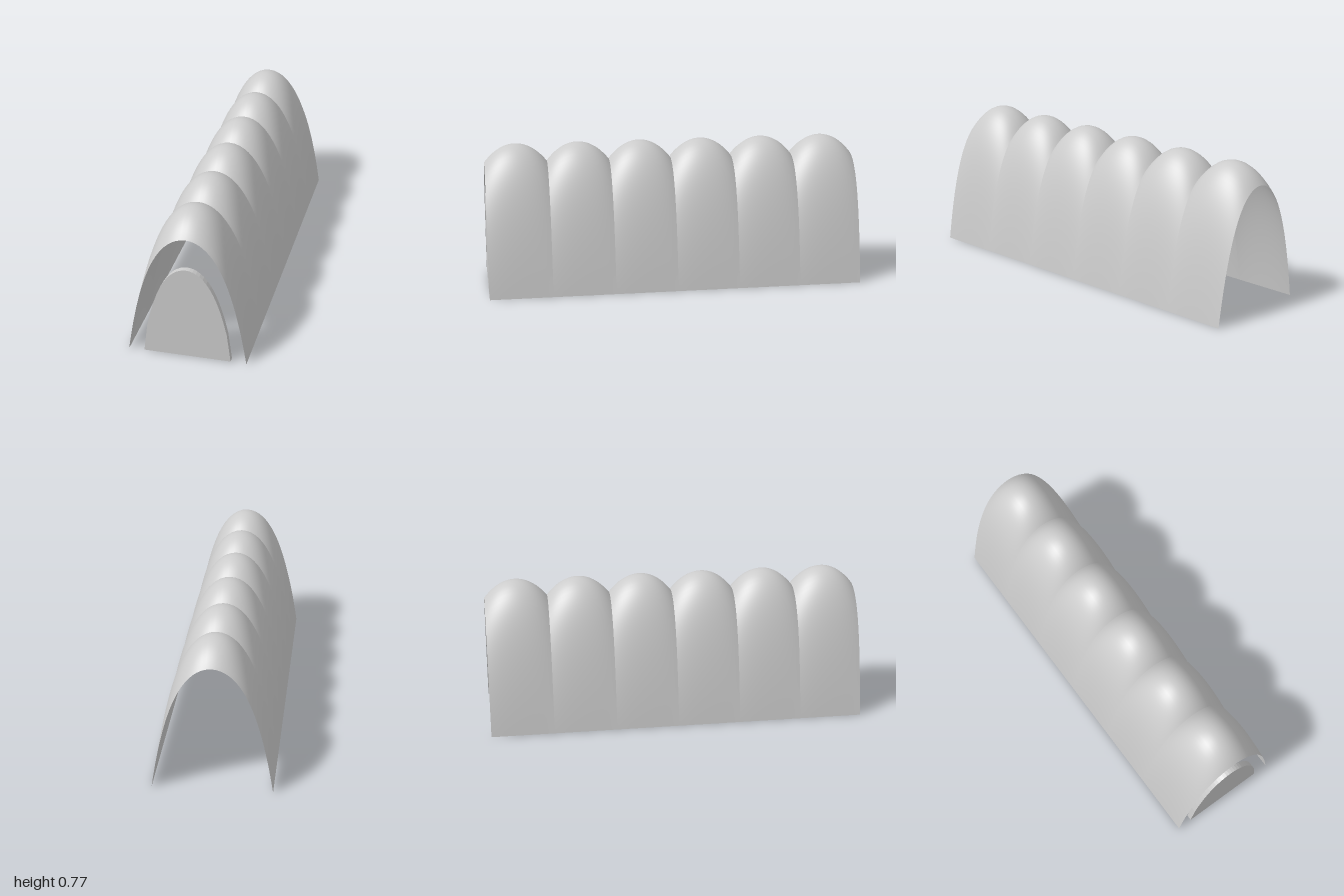
import * as THREE from 'three';

const BAYS = 6, LENGTH = 2, HALF_WIDTH = 0.302;
const VALLEY = 0.668, CREST = 0.767;

// Catenary parameter for an arch of given half span and rise (bisection)
function catenaryParam(half, rise) {
  let lo = 0.03, hi = 5;
  for (let i = 0; i < 60; i++) {
    const a = (lo + hi) / 2;
    if (a * (Math.cosh(half / a) - 1) > rise) lo = a; else hi = a;
  }
  return (lo + hi) / 2;
}

const drop = (x, a) => a * (Math.cosh(x / a) - 1);

// One vault bay: catenary arches whose height swells along the bay
function bayGeometry(depth) {
  const geo = new THREE.PlaneGeometry(2, 2, 64, 24).rotateX(-Math.PI / 2);
  const pos = geo.attributes.position;
  const ridge = catenaryParam(depth / 2, CREST - VALLEY);
  for (let i = 0; i < pos.count; i++) {
    const z = pos.getZ(i) * depth / 2;
    const height = CREST - drop(z, ridge);
    const a = catenaryParam(HALF_WIDTH, height);
    // even steps along the arc
    const x = a * Math.asinh(pos.getX(i) * Math.sinh(HALF_WIDTH / a));
    pos.setXYZ(i, x, Math.max(0, height - drop(x, a)), z);
  }
  geo.computeVertexNormals();
  return geo;
}

// Arched end panel with straight lower flanks
function panelGeometry() {
  const a = 0.09, top = 0.5, bend = 0.203, base = 0.004, n = 24;
  const shape = new THREE.Shape();
  shape.moveTo(-0.222, base);
  shape.lineTo(0.222, base);
  for (let i = 0; i <= n; i++) {
    const x = bend * (1 - 2 * i / n);
    shape.lineTo(x, top - drop(x, a));
  }
  shape.closePath();
  return new THREE.ExtrudeGeometry(shape, { depth: 0.03, bevelEnabled: false });
}

export function createModel() {
  const model = new THREE.Group();
  model.name = 'vaultedShelter';
  const shellMat = new THREE.MeshStandardMaterial({ color: 0xcccccc, side: THREE.DoubleSide });
  const panelMat = new THREE.MeshStandardMaterial({ color: 0xcccccc });

  // Row of thin vault bays
  const vault = new THREE.Group();
  vault.name = 'vault';
  const depth = LENGTH / BAYS, geo = bayGeometry(depth);
  for (let i = 0; i < BAYS; i++) {
    const bay = new THREE.Mesh(geo, shellMat);
    bay.name = `vaultBay${i + 1}`;
    bay.position.z = LENGTH / 2 - depth * (i + 0.5);
    vault.add(bay);
  }
  model.add(vault);

  // Front panel, flush with the open end
  const panel = new THREE.Mesh(panelGeometry(), panelMat);
  panel.name = 'frontPanel';
  panel.position.z = LENGTH / 2 - 0.03;
  model.add(panel);
  return model;
}
